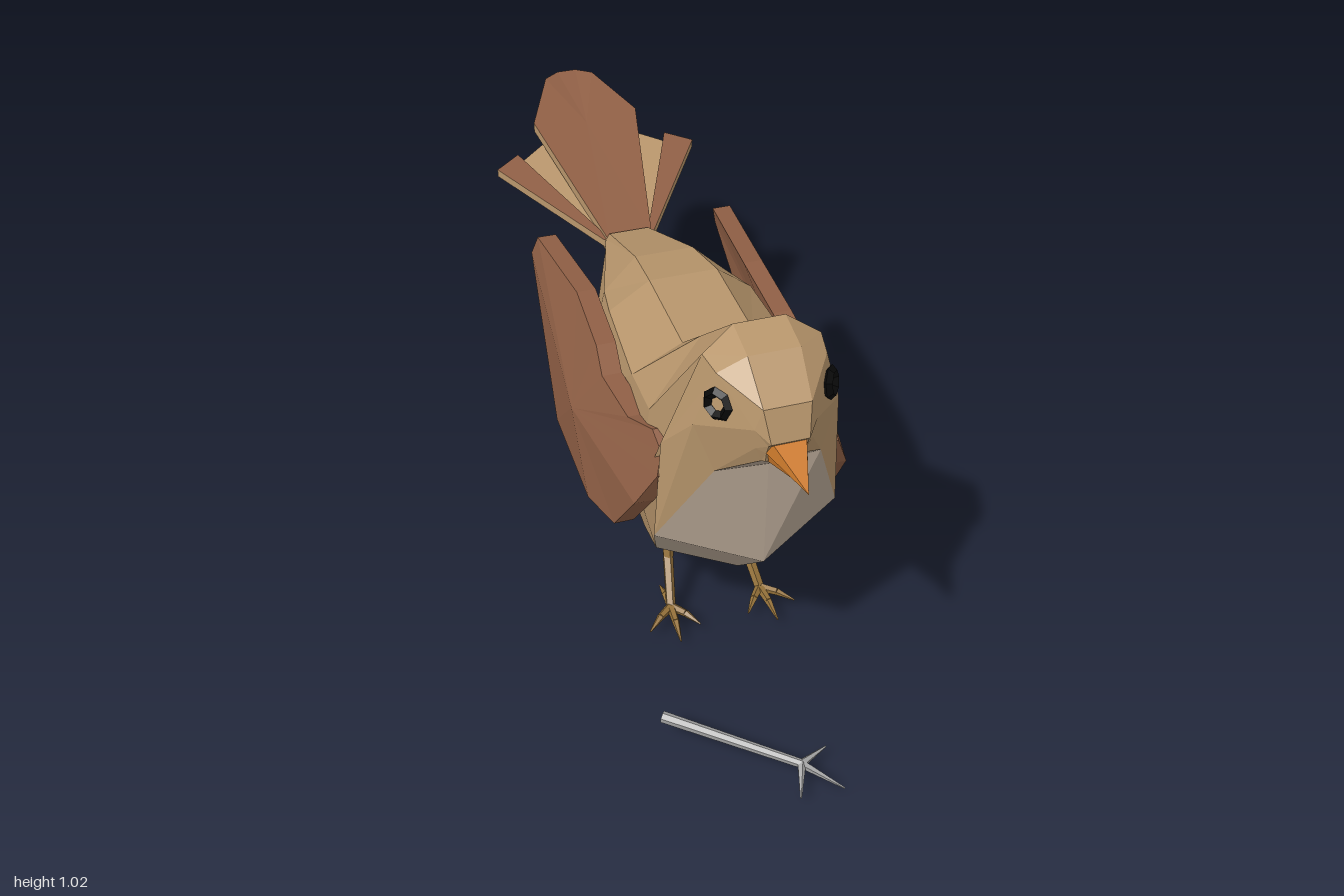
import * as THREE from 'three';

const mat = (name, color) => {
  const m = new THREE.MeshStandardMaterial({ color, flatShading: true });
  m.name = name;
  return m;
};
const V = (p) => new THREE.Vector3(...p);

// Skin between rings of points, one mesh per material; winding is corrected to face outward
function loft(name, rings, pick) {
  const n = Math.max(...rings.map((r) => r.length));
  const at = (i, j) => V(rings[i][rings[i].length === 1 ? 0 : j % n]);
  const parts = new Map();
  let volume = 0;
  const centre = at(0, 0);
  for (let i = 0; i < rings.length - 1; i++) {
    for (let j = 0; j < n; j++) {
      const a = at(i, j), b = at(i, j + 1), c = at(i + 1, j + 1), d = at(i + 1, j);
      const tris = j < n / 2 - 0.5 ? [[a, b, d], [b, c, d]] : [[a, b, c], [a, c, d]];
      const m = pick(i, j);
      if (!parts.has(m)) parts.set(m, []);
      for (const [p, q, r] of tris) {
        const cross = q.clone().sub(p).cross(r.clone().sub(p));
        if (cross.length() < 1e-9) continue;
        volume += cross.dot(p.clone().sub(centre));
        parts.get(m).push([p, q, r]);
      }
    }
  }
  const group = new THREE.Group();
  group.name = name;
  for (const [m, tris] of parts) {
    const pts = tris.flatMap(([p, q, r]) => (volume < 0 ? [p, r, q] : [p, q, r]));
    const g = new THREE.BufferGeometry().setFromPoints(pts);
    g.computeVertexNormals();
    const mesh = new THREE.Mesh(g, m);
    mesh.name = name + ' ' + m.name;
    group.add(mesh);
  }
  return group;
}

// Tapered rod between two points
function rod(name, from, to, r0, r1, material, sides = 5) {
  const a = V(from), b = V(to), dir = b.clone().sub(a);
  const mesh = new THREE.Mesh(new THREE.CylinderGeometry(r1, r0, dir.length(), sides), material);
  mesh.position.copy(a).add(b).multiplyScalar(0.5);
  mesh.quaternion.setFromUnitVectors(new THREE.Vector3(0, 1, 0), dir.normalize());
  mesh.name = name;
  return mesh;
}

export function createModel() {
  const tan = mat('tan plumage', 0xb8966c);
  const brown = mat('brown feathers', 0x8f5f45);
  const pale = mat('pale breast', 0xb9a896);
  const orange = mat('orange beak', 0xcc7a2c);
  const black = mat('black eye', 0x080808);
  const ochre = mat('ochre legs', 0x94713a);
  const grey = mat('grey twig', 0xa6a6a6);
  const bird = new THREE.Group();
  bird.name = 'bird';

  // Body: half rings from tail to face (back, shoulder, side, lower side, underside)
  const half = [
    [[0.05, 0.64, -0.36], [0.06, 0.625, -0.36], [0.06, 0.605, -0.36], [0.05, 0.585, -0.36], [0, 0.58, -0.36]],
    [[0.07, 0.775, -0.05], [0.15, 0.7, -0.04], [0.195, 0.52, -0.02], [0.14, 0.34, -0.02], [0, 0.27, -0.02]],
    [[0.08, 0.81, 0.1], [0.17, 0.73, 0.08], [0.21, 0.5, 0.08], [0.14, 0.225, 0.08], [0, 0.19, 0.07]],
    [[0.08, 0.815, 0.35], [0.185, 0.73, 0.32], [0.21, 0.47, 0.3], [0.155, 0.26, 0.3], [0, 0.24, 0.33]],
    [[0.075, 0.91, 0.46], [0.19, 0.75, 0.47], [0.21, 0.5, 0.45], [0.165, 0.31, 0.43], [0, 0.29, 0.52]],
    [[0.055, 1.035, 0.6], [0.125, 0.99, 0.62], [0.195, 0.74, 0.57], [0.208, 0.475, 0.56], [0, 0.45, 0.68]],
    [[0.055, 1.02, 0.69], [0.115, 0.985, 0.68], [0.155, 0.85, 0.66], [0.115, 0.735, 0.68], [0, 0.73, 0.685]],
    [[0.05, 0.95, 0.775], [0.065, 0.9, 0.77], [0.06, 0.85, 0.765], [0.045, 0.81, 0.76], [0, 0.81, 0.765]],
    [[0.04, 0.88, 0.8], [0.042, 0.87, 0.79], [0.042, 0.845, 0.78], [0.04, 0.815, 0.77], [0, 0.812, 0.77]],
  ];
  const full = half.map((h) => [...h, ...h.slice(0, 4).reverse().map(([x, y, z]) => [-x, y, z])]);
  const isBreast = (i, j) => i >= 3 && i <= 7 && (j === 3 || j === 4);
  bird.add(loft('body', [[[0, 0.61, -0.36]], ...full, [[0, 0.845, 0.78]]],
    (i, j) => (isBreast(i, j) ? pale : tan)));

  // Beak: upper and lower bill
  bird.add(loft('upperBeak', [[[0, 0.85, 0.77]],
    [[-0.043, 0.845, 0.78], [-0.035, 0.877, 0.795], [0.035, 0.877, 0.795], [0.043, 0.845, 0.78]],
    [[0, 0.832, 0.905]]], () => orange));
  bird.add(loft('lowerBeak', [[[0, 0.83, 0.76]],
    [[-0.04, 0.842, 0.775], [0.04, 0.842, 0.775], [0.034, 0.811, 0.765], [-0.034, 0.811, 0.765]],
    [[0, 0.831, 0.88]]], () => orange));

  // Wing outline as [z, y]; the slab leans in at the top and towards the shoulder
  const outline = [[0.57, 0.65], [0.55, 0.7], [0.5, 0.72], [0.41, 0.69], [0.27, 0.7], [0.19, 0.725], [0, 0.74],
    [-0.3, 0.705], [-0.32, 0.65], [0.01, 0.385], [0.3, 0.385], [0.43, 0.41], [0.53, 0.55]];
  const wingX = (z, y) => 0.288 - 0.35 * Math.max(0, y - 0.56) * (z < -0.2 ? 0.7 : 1)
    - 0.2 * Math.max(0, z - 0.3) + 0.02 * Math.min(0, z);

  for (const s of [1, -1]) {
    const side = s > 0 ? 'left' : 'right';
    const sheet = (d) => outline.map(([z, y]) => [s * (wingX(z, y) - d), y, z]);
    bird.add(loft(side + 'Wing', [[[s * 0.225, 0.56, 0.17]], sheet(0.045), sheet(0),
      [[s * 0.295, 0.57, 0.2]]], () => brown));

    // Eye: open black rim on the cheek
    const eye = new THREE.Mesh(new THREE.TorusGeometry(0.026, 0.011, 4, 7), black);
    eye.name = side + 'Eye';
    eye.position.set(s * 0.118, 0.924, 0.7);
    eye.quaternion.setFromUnitVectors(new THREE.Vector3(0, 0, 1), new THREE.Vector3(s * 0.81, 0.16, 0.56).normalize());
    bird.add(eye);

    // Thigh, shank and toes
    const P = (x, y, z) => [s * x, y, z];
    bird.add(loft(side + 'Thigh', [[P(0.1, 0.29, 0.27)],
      [P(0.055, 0.265, 0.33), P(0.14, 0.27, 0.33), P(0.15, 0.26, 0.2), P(0.06, 0.26, 0.19)],
      [P(0.075, 0.2, 0.28), P(0.105, 0.2, 0.28), P(0.105, 0.2, 0.25), P(0.075, 0.2, 0.25)],
      [P(0.09, 0.195, 0.265)]], () => pale));
    const knee = P(0.095, 0.135, 0.29), ankle = P(0.112, 0.05, 0.37);
    bird.add(rod(side + 'UpperLeg', P(0.085, 0.23, 0.255), knee, 0.019, 0.013, ochre));
    bird.add(rod(side + 'LowerLeg', knee, ankle, 0.013, 0.012, ochre));
    for (const [x, z] of [[0.06, 0.44], [0.12, 0.48], [0.18, 0.43], [0.115, 0.29]]) {
      const mid = P((x + 0.112) / 2, 0.053, (z + 0.37) / 2);
      bird.add(rod(side + 'Toe', ankle, mid, 0.011, 0.009, ochre));
      bird.add(rod(side + 'Claw', mid, P(x, 0.043, z), 0.009, 0.002, ochre));
    }
  }

  // Tail feathers: thin slabs from [x, z] outlines with a sloping height rule
  const feather = (name, pts, height, thick, top) => {
    const upper = pts.map(([x, z]) => [x, height(x, z), z]);
    const lower = upper.map(([x, y, z]) => [x, y - thick, z]);
    const mid = (r) => [0, 1, 2].map((k) => r.reduce((t, p) => t + p[k], 0) / r.length);
    bird.add(loft(name, [[mid(lower)], lower, upper, [mid(upper)]], (i) => (i === 2 ? top : tan)));
  };
  feather('middleTailFeather', [[-0.055, -0.34], [-0.135, -0.8], [-0.06, -0.97], [-0.02, -0.998], [0.03, -0.998],
    [0.07, -0.97], [0.145, -0.8], [0.055, -0.34]],
  (x, z) => (z < -0.9 ? 0.762 : 0.637 - (z + 0.36) * 0.225 - Math.abs(x) * 0.05), 0.025, brown);
  feather('lowerTailFeather', [[-0.05, -0.34], [-0.1, -0.72], [-0.07, -0.88], [0, -0.9], [0.07, -0.88], [0.1, -0.72],
    [0.05, -0.34]], (x, z) => 0.595 - (z + 0.36) * 0.07, 0.018, tan);
  for (const s of [1, -1]) {
    const side = s > 0 ? 'left' : 'right';
    feather(side + 'TailFeather', [[0.045, -0.35], [0.065, -0.36], [0.265, -0.67], [0.2, -0.715], [0.16, -0.62]]
      .map(([x, z]) => [s * x, z]), (x, z) => 0.625 - (z + 0.36) * 0.19, 0.02, brown);
    feather(side + 'InnerTailFeather', [[0.03, -0.35], [0.05, -0.36], [0.17, -0.62], [0.2, -0.7], [0.1, -0.78]]
      .map(([x, z]) => [s * x, z]), (x, z) => 0.615 - (z + 0.36) * 0.17, 0.02, tan);
  }

  // Forked twig lying in front
  const fork = [0.02, 0.052, 0.91];
  bird.add(rod('twig', [-0.24, 0.088, 0.725], fork, 0.013, 0.01, grey, 6));
  for (const tip of [[0.1, 0.012, 0.97], [-0.01, 0.042, 0.99], [0.09, 0.045, 0.875]]) {
    bird.add(rod('twigBranch', fork, tip, 0.01, 0.002, grey));
  }
  return bird;
}
